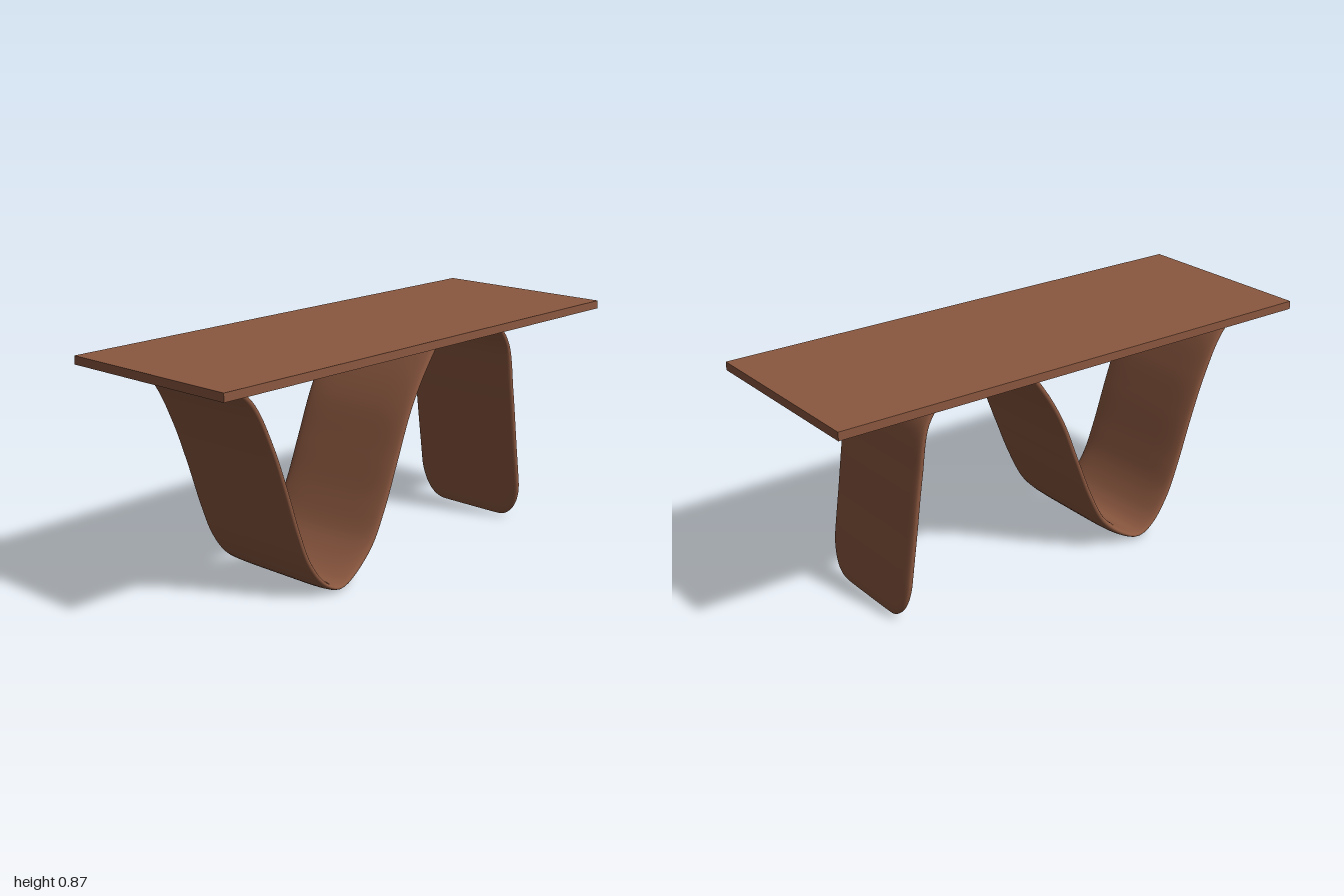
import * as THREE from 'three';

// Side-on centreline of the wavy support (x, y)
const PATH = [
  [-0.855, 0.845], [-0.76, 0.755], [-0.68, 0.6], [-0.62, 0.44], [-0.56, 0.26], [-0.51, 0.14],
  [-0.44, 0.05], [-0.37, 0.018], [-0.3, 0.042], [-0.2, 0.125], [-0.13, 0.25], [-0.06, 0.42],
  [0.01, 0.59], [0.09, 0.725], [0.18, 0.832], [0.23, 0.847], [0.34, 0.847], [0.45, 0.845],
  [0.52, 0.82], [0.585, 0.74], [0.62, 0.55], [0.65, 0.33], [0.675, 0.15], [0.692, 0.004],
];

const bump = (x, centre, spread) => Math.exp(-(((x - centre) / spread) ** 2));
const signedPow = (v, p) => Math.sign(v) * Math.abs(v) ** p;
// Quarter-round falloff: 0 at the end, 1 beyond the given distance
const roundOff = (d, radius) => Math.sqrt(Math.max(0, 1 - Math.max(0, 1 - d / radius) ** 2));

// Sweeps a soft-edged flat section along the path
function ribbonGeometry(stations = 200, sides = 40) {
  const curve = new THREE.CatmullRomCurve3(PATH.map(([x, y]) => new THREE.Vector3(x, y, 0)), false, 'centripetal');
  curve.arcLengthDivisions = 600;
  const length = curve.getLength();
  const positions = [], index = [];
  for (let i = 0; i <= stations; i++) {
    const u = (1 - Math.cos((Math.PI * i) / stations)) / 2;
    const c = curve.getPointAt(u), t = curve.getTangentAt(u);
    const toEnd = (1 - u) * length;
    const trough = c.y < 0.4 ? bump(c.x, -0.37, 0.1) : 0;
    const arch = c.y > 0.8 ? bump(c.x, 0.34, 0.15) : 0;
    // Rounded foot corners, slight flare at the trough and the arch
    const halfWidth = 0.14 + 0.11 * roundOff(toEnd, 0.16) + 0.01 * trough + 0.02 * arch;
    const halfThick = (0.019 - 0.006 * trough - 0.004 * arch) * roundOff(toEnd, 0.05) * roundOff(u * length, 0.03);
    for (let j = 0; j < sides; j++) {
      const a = (j / sides) * Math.PI * 2;
      const z = halfWidth * signedPow(Math.cos(a), 0.4);
      const n = halfThick * signedPow(Math.sin(a), 0.7);
      positions.push(c.x - t.y * n, c.y + t.x * n, z);
      if (i < stations) {
        const k = (j + 1) % sides, p = i * sides, q = p + sides;
        index.push(p + j, q + j, p + k, p + k, q + j, q + k);
      }
    }
  }
  const geometry = new THREE.BufferGeometry();
  geometry.setAttribute('position', new THREE.Float32BufferAttribute(positions, 3));
  geometry.setIndex(index);
  geometry.computeVertexNormals();
  return geometry;
}

export function createModel() {
  const wood = new THREE.MeshStandardMaterial({ color: 0x8a573f });
  wood.name = 'brown wood';
  const group = new THREE.Group();
  group.name = 'table';

  // Flat rectangular top
  const top = new THREE.Mesh(new THREE.BoxGeometry(2, 0.031, 0.742), wood);
  top.name = 'tabletop';
  top.position.y = 0.8535;
  group.add(top);

  // One continuous wavy support
  const support = new THREE.Mesh(ribbonGeometry(), wood);
  support.name = 'wavySupport';
  group.add(support);
  return group;
}
